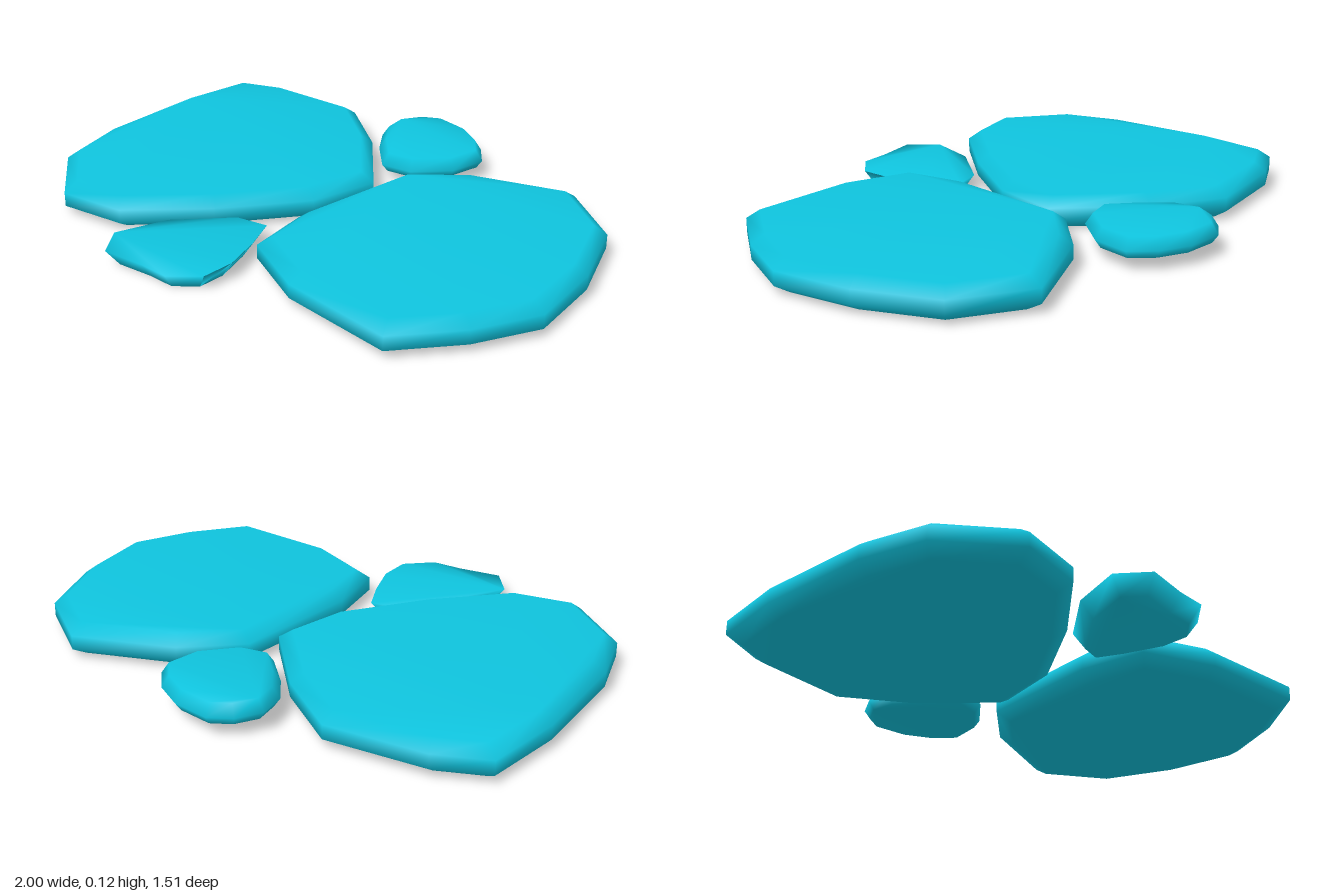
import * as THREE from 'three';

// Outlines as [x, z], clockwise seen from above
const LEFT = [[-1, -0.2], [-0.965, -0.48], [-0.79, -0.56], [-0.44, -0.6], [-0.2, -0.44], [0.035, -0.19],
  [-0.02, 0.055], [-0.22, 0.335], [-0.445, 0.57], [-0.685, 0.62], [-0.915, 0.435], [-0.98, 0.21]];
const RIGHT = [[0.08, -0.295], [0.26, -0.46], [0.605, -0.6], [0.85, -0.44], [0.96, -0.17], [1, 0.11],
  [0.895, 0.33], [0.735, 0.535], [0.325, 0.515], [0.07, 0.41], [0.03, 0.175]];
const BACK = [[-0.245, -0.63], [-0.195, -0.715], [-0.12, -0.76], [0.015, -0.745], [0.12, -0.69], [0.19, -0.61],
  [0.165, -0.475], [0.06, -0.36], [-0.055, -0.335], [-0.16, -0.435], [-0.23, -0.53]];
const FRONT = [[-0.365, 0.655], [-0.305, 0.47], [-0.15, 0.295], [-0.035, 0.265], [0.02, 0.38], [0.07, 0.52],
  [0.07, 0.64], [-0.02, 0.725], [-0.13, 0.73], [-0.285, 0.755]];

// Edge-parallel inset of an outline
function inset(outline, amount) {
  const n = outline.length;
  const inward = (a, b) => new THREE.Vector2(a[1] - b[1], b[0] - a[0]).normalize();
  return outline.map((p, i) => {
    const n1 = inward(outline[(i + n - 1) % n], p);
    const n2 = inward(p, outline[(i + 1) % n]);
    const s = amount / (1 + n1.dot(n2));
    return [p[0] + (n1.x + n2.x) * s, p[1] + (n1.y + n2.y) * s];
  });
}

// Closed stone lofted through levels [y, inset] from bottom to top
function makeStone(name, outline, levels, material) {
  const n = outline.length, pos = [], idx = [];
  for (const [y, d] of levels) {
    for (const [x, z] of inset(outline, d)) pos.push(x, y, z);
  }
  const top = (levels.length - 1) * n;
  for (let k = 0; k < top; k += n) {
    for (let i = 0; i < n; i++) {
      const j = (i + 1) % n;
      idx.push(k + j, k + i, k + n + i, k + j, k + n + i, k + n + j);
    }
  }
  // Flat caps
  for (let i = 1; i < n - 1; i++) {
    idx.push(0, i, i + 1, top, top + i + 1, top + i);
  }
  const geo = new THREE.BufferGeometry();
  geo.setAttribute('position', new THREE.Float32BufferAttribute(pos, 3));
  geo.setIndex(idx);
  geo.computeVertexNormals();
  const mesh = new THREE.Mesh(geo, material);
  mesh.name = name;
  return mesh;
}

export function createModel() {
  const group = new THREE.Group();
  group.name = 'steppingStones';
  const material = new THREE.MeshStandardMaterial({ color: 0x0fc4de });

  const slab = [[0, 0.05], [0.033, 0], [0.083, 0], [0.117, 0.045]];
  group.add(
    makeStone('rightSlab', LEFT, slab, material),
    makeStone('leftSlab', RIGHT, slab, material),
    makeStone('backPebble', BACK, [[0.045, 0.02], [0.075, 0], [0.115, 0.025]], material),
    makeStone('frontPebble', FRONT, [[0, 0.04], [0.06, 0]], material)
  );
  return group;
}
